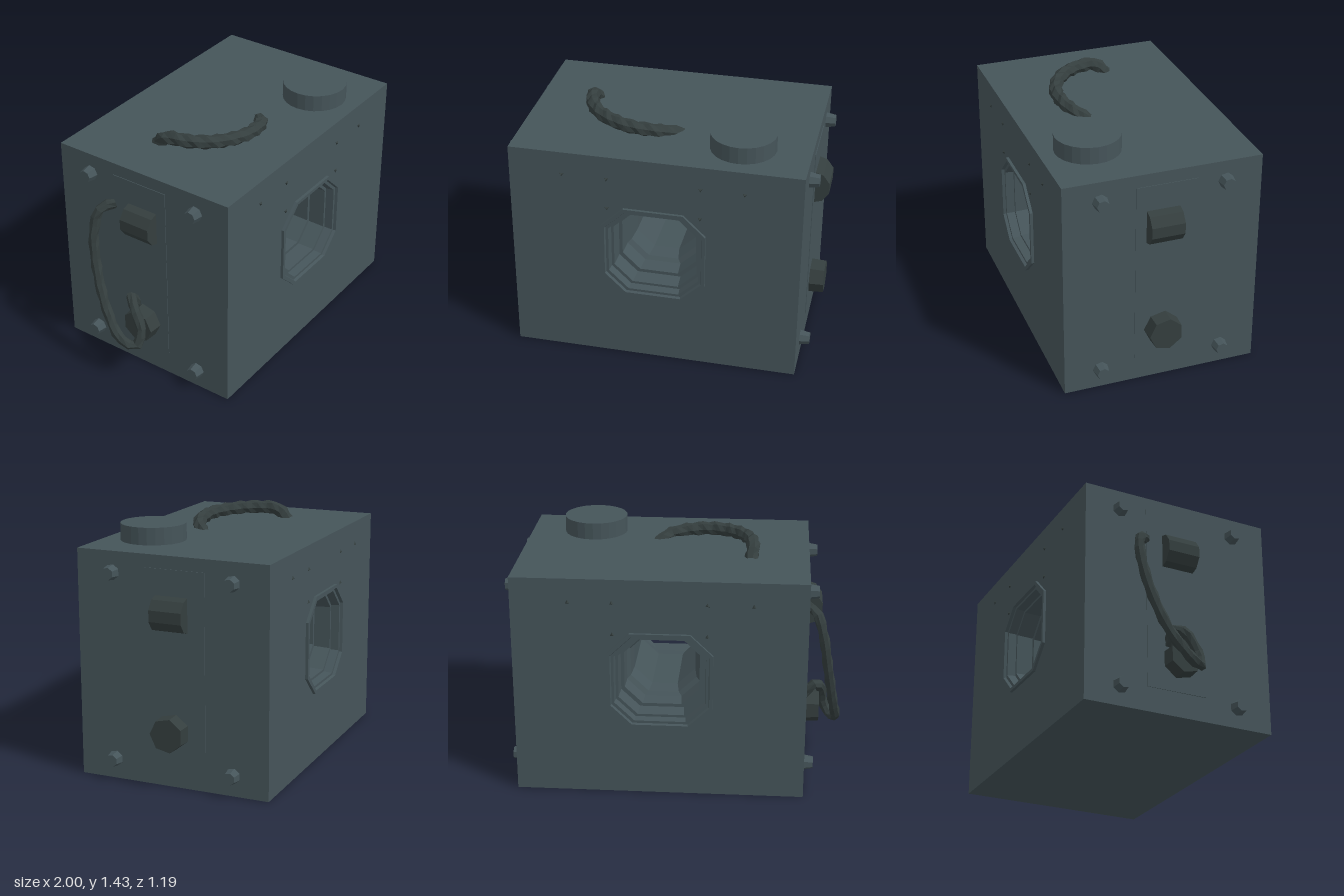
import * as THREE from 'three';

const CX = 0.065, HOLE_X = 0.06, HOLE_Y = 0.72;

export function createModel() {
  const root = new THREE.Group();
  root.name = 'machineBlock';

  const mat = (name, color, side = THREE.FrontSide) => {
    const m = new THREE.MeshStandardMaterial({ color, side, flatShading: true });
    m.name = name;
    return m;
  };
  const slate = mat('slate metal', 0x455459, THREE.DoubleSide);
  const dark = mat('dark fittings', 0x343e3e);

  const add = (name, geometry, material, x = 0, y = 0, z = 0) => {
    const mesh = new THREE.Mesh(geometry, material);
    mesh.name = name;
    mesh.position.set(x, y, z);
    root.add(mesh);
    return mesh;
  };

  // Chamfered square ring: half width h, chamfer as a share of h
  const ring = (h, chamfer) => {
    const c = h * (1 - chamfer), v = h * 0.96, cv = c * 0.96;
    return [[h, -cv], [h, cv], [c, v], [-c, v], [-h, cv], [-h, -cv], [-c, -v], [c, -v]];
  };

  // Body block with the octagonal opening right through it
  const shape = new THREE.Shape();
  shape.moveTo(-0.78, 0);
  shape.lineTo(0.91, 0);
  shape.lineTo(0.91, 1.33);
  shape.lineTo(-0.78, 1.33);
  shape.closePath();
  shape.holes.push(new THREE.Path(ring(0.3, 0.43).reverse()
    .map(([x, y]) => new THREE.Vector2(x + HOLE_X, y + HOLE_Y))));
  const body = new THREE.ExtrudeGeometry(shape, { depth: 1.16, bevelEnabled: false });
  add('body', body.translate(0, 0, -0.58), slate);

  // Stepped tunnel: [half width, chamfer, z], mirrored to the back
  const steps = [
    [0.305, 0.43, 0.575], [0.305, 0.43, 0.597], [0.285, 0.43, 0.597], [0.28, 0.43, 0.58],
    [0.265, 0.44, 0.58], [0.26, 0.44, 0.53], [0.245, 0.45, 0.53], [0.24, 0.46, 0.43],
    [0.22, 0.48, 0.43], [0.215, 0.5, 0.33], [0.195, 0.54, 0.31], [0.182, 0.58, 0.22],
  ];
  const profile = [...steps, ...steps.slice().reverse().map(([h, c, z]) => [h, c, -z])];
  const pos = [], index = [];
  profile.forEach(([h, c, z]) => ring(h, c).forEach(([x, y]) => pos.push(x, y, z)));
  for (let i = 0; i < profile.length - 1; i++) {
    for (let j = 0; j < 8; j++) {
      const k = (j + 1) % 8, a = i * 8 + j, b = i * 8 + k;
      index.push(a, b, a + 8, b, b + 8, a + 8);
    }
  }
  const tunnel = new THREE.BufferGeometry();
  tunnel.setAttribute('position', new THREE.Float32BufferAttribute(pos, 3));
  tunnel.setIndex(index);
  tunnel.computeVertexNormals();
  add('steppedOpening', tunnel, slate, HOLE_X, HOLE_Y, 0);

  // Side fittings, mirrored about the body centre
  for (const s of [-1, 1]) {
    const side = s > 0 ? 'left' : 'right';
    const wall = CX + s * 0.845;

    add(side + 'Panel', new THREE.BoxGeometry(0.008, 1.11, 0.36), slate, wall, 0.7, -0.02);

    for (const y of [0.12, 1.21]) {
      for (const z of [-0.365, 0.365]) {
        const bolt = new THREE.CylinderGeometry(0.036, 0.048, 0.07, 7);
        add(side + 'Bolt', bolt, slate, wall + s * 0.022, y, z).rotation.z = -s * Math.PI / 2;
      }
    }

    // Drum lying along the wall, half sunk into it
    const drum = new THREE.CylinderGeometry(0.105, 0.105, 0.195, 10);
    add(side + 'Drum', drum, dark, wall - s * 0.013, 1.005, 0).rotation.x = Math.PI / 2;

    // Plug standing out from the wall
    const plug = new THREE.CylinderGeometry(0.1, 0.105, 0.1, 7);
    add(side + 'Plug', plug, dark, wall + s * 0.04, 0.33, 0).rotation.z = -s * Math.PI / 2;
  }

  // Round cap on top
  add('topCap', new THREE.CylinderGeometry(0.19, 0.19, 0.11, 24), slate, 0.52, 1.375, 0.3);

  // Lumpy hoses, their width varied by a simple wave
  const hose = (name, points, radius) => {
    const curve = new THREE.CatmullRomCurve3(points.map((p) => new THREE.Vector3(...p)));
    const segments = 28, sides = 7;
    const geo = new THREE.TubeGeometry(curve, segments, radius, sides, false);
    const p = geo.attributes.position, v = new THREE.Vector3();
    for (let i = 0; i < p.count; i++) {
      const row = Math.floor(i / (sides + 1)), col = (i % (sides + 1)) % sides;
      const centre = curve.getPointAt(row / segments);
      v.fromBufferAttribute(p, i).sub(centre);
      v.multiplyScalar(1 + 0.13 * Math.sin(row * 2.3 + col * 1.9)).add(centre);
      p.setXYZ(i, v.x, v.y, v.z);
    }
    geo.computeVertexNormals();
    add(name, geo, dark);
  };
  hose('topHose', [
    [-0.44, 1.31, -0.15], [-0.45, 1.375, -0.08], [-0.42, 1.385, 0.06], [-0.33, 1.38, 0.18],
    [-0.17, 1.37, 0.26], [0, 1.35, 0.25], [0.08, 1.33, 0.21], [0.14, 1.29, 0.14],
  ], 0.04);
  hose('sideHose', [
    [-0.77, 1.06, -0.2], [-0.83, 1.04, -0.26], [-0.87, 0.92, -0.285], [-0.91, 0.68, -0.25],
    [-0.95, 0.42, -0.15], [-0.97, 0.28, -0.04], [-0.94, 0.25, 0.04], [-0.9, 0.33, 0.055],
    [-0.88, 0.45, 0], [-0.84, 0.5, -0.06], [-0.77, 0.42, -0.06],
  ], 0.03);

  // Small studs along the upper front and back
  for (const s of [-1, 1]) {
    for (const [x, y] of [[-0.47, 1.19], [-0.21, 1.19], [0.33, 1.19], [0.58, 1.19], [-0.21, 1.0], [0.33, 1.0]]) {
      const stud = new THREE.ConeGeometry(0.018, 0.012, 3);
      add('stud', stud, dark, x, y, s * 0.584).rotation.x = s * Math.PI / 2;
    }
  }

  return root;
}
